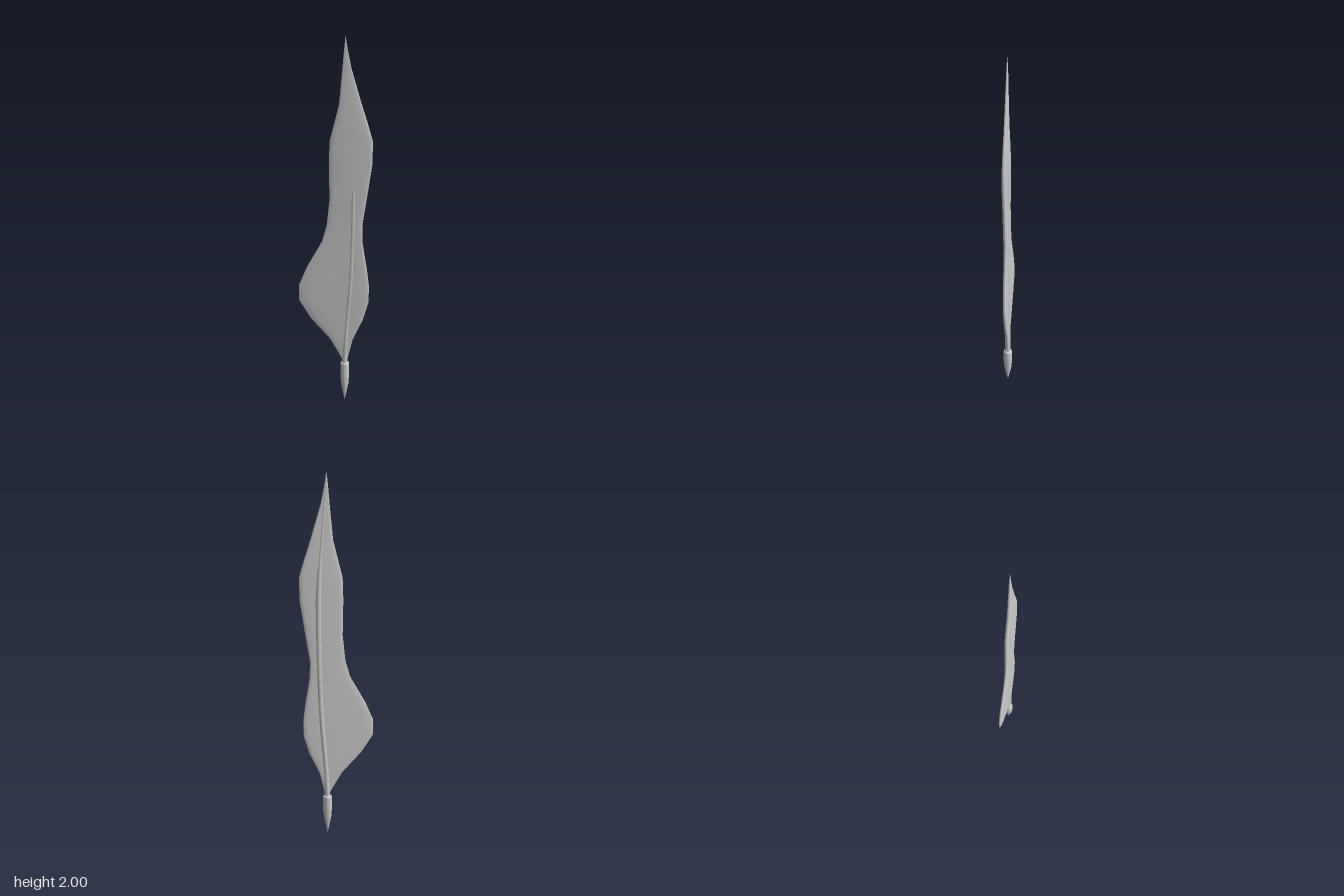
import * as THREE from 'three';

const material = new THREE.MeshStandardMaterial({ color: 0xcccccc });

// Skins a stack of rings (bottom to top, counter-clockwise from above)
function loft(rings) {
  const n = rings[0].length, index = [];
  for (let i = 0; i < rings.length - 1; i++) {
    for (let j = 0; j < n; j++) {
      const k = (j + 1) % n;
      const a = i * n + j, b = i * n + k, c = a + n, d = b + n;
      index.push(a, b, d, a, d, c);
    }
  }
  const geometry = new THREE.BufferGeometry();
  geometry.setAttribute('position', new THREE.Float32BufferAttribute(rings.flat(2), 3));
  geometry.setIndex(index);
  geometry.computeVertexNormals();
  return geometry;
}

// Feather rows: y, right edge x, shaft x, left edge x, half thickness
const ROWS = [
  [0.22, 0.05, 0.053, 0.056, 0.004],
  [0.26, 0.034, 0.054, 0.071, 0.009],
  [0.37, -0.03, 0.059, 0.097, 0.011],
  [0.49, -0.138, 0.068, 0.153, 0.011],
  [0.59, -0.2, 0.076, 0.182, 0.011],
  [0.68, -0.2, 0.083, 0.184, 0.011],
  [0.78, -0.157, 0.088, 0.171, 0.011],
  [0.93, -0.072, 0.093, 0.146, 0.011],
  [1.02, -0.046, 0.095, 0.144, 0.011],
  [1.16, -0.031, 0.097, 0.166, 0.011],
  [1.35, -0.034, 0.097, 0.194, 0.012],
  [1.47, -0.03, 0.092, 0.195, 0.012],
  [1.56, -0.006, 0.085, 0.168, 0.011],
  [1.66, 0.019, 0.077, 0.135, 0.009],
  [1.84, 0.036, 0.062, 0.081, 0.006],
  [1.92, 0.043, 0.055, 0.064, 0.004],
  [2.0, 0.051, 0.051, 0.051, 0],
];

// Half of the vane section: reach from shaft to edge, share of thickness
const SECTION = [[1, 0.25], [0.97, 0.6], [0.8, 0.85], [0.4, 0.95]];

function vaneRing([y, x0, xc, x1, h]) {
  const point = (side, t, s) => {
    const x = xc + t * ((side > 0 ? x1 : x0) - xc);
    return [x, y, s * h + 0.018 * (x - 0.05)];
  };
  const flip = [...SECTION].reverse();
  return [
    ...SECTION.map(([t, s]) => point(1, t, -s)),
    point(1, 0, -1),
    ...flip.map(([t, s]) => point(-1, t, -s)),
    ...SECTION.map(([t, s]) => point(-1, t, s)),
    point(1, 0, 1),
    ...flip.map(([t, s]) => point(1, t, s)),
  ];
}

// Round, tapering shaft ring
function shaftRing([y, , x]) {
  const r = 0.016 * Math.min(1, Math.pow((2 - y) / 0.7, 0.6));
  const sink = y > 1.3 && y < 1.5 ? 0.006 : 0.001; // dips under the front here
  return Array.from({ length: 12 }, (_, j) => {
    const a = (j / 12) * Math.PI * 2;
    return [x + r * Math.cos(a), y, -r * Math.sin(a) - sink];
  });
}

export function createModel() {
  const group = new THREE.Group();
  const add = (name, geometry) => {
    const mesh = new THREE.Mesh(geometry, material);
    mesh.name = name;
    group.add(mesh);
    return mesh;
  };

  add('featherVane', loft(ROWS.map(vaneRing)));
  add('shaft', loft(ROWS.map(shaftRing)));

  // Turned holder and pointed nib
  const turned = (name, profile) => {
    const points = profile.map(([r, y]) => new THREE.Vector2(r, y));
    add(name, new THREE.LatheGeometry(points, 24)).position.set(0.053, 0, -0.002);
  };
  turned('holder', [[0.022, 0.13], [0.025, 0.14], [0.025, 0.222], [0.022, 0.23], [0.016, 0.232], [0, 0.232]]);
  turned('nib', [[0, 0], [0.01, 0.045], [0.018, 0.085], [0.021, 0.1], [0.023, 0.132]]);

  return group;
}
